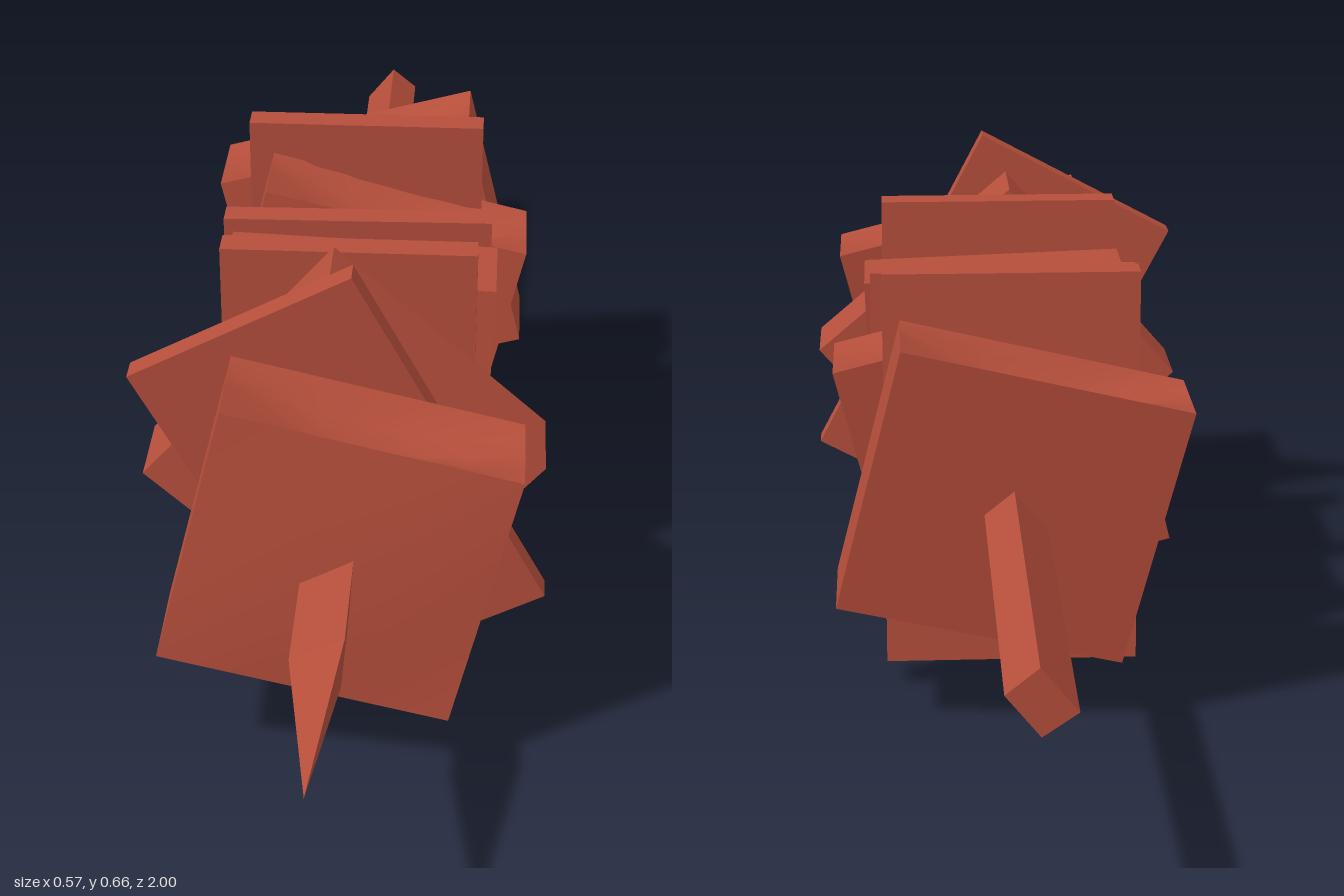
import * as THREE from 'three';

const meat = new THREE.MeshStandardMaterial({ color: 0xb54e3b });
meat.name = 'roasted red';

// A rolled block, leaning along the skewer (leanX, leanY), with an optional dent in its top
function chunk({ name, x = 0, y, z, w, h, d, roll = 0, leanX = 0, leanY = 0, dent = 0, dome = 0 }) {
  const geo = new THREE.BoxGeometry(w, h, d, 6, 6, 4);
  const p = geo.attributes.position;
  const a = THREE.MathUtils.degToRad(roll), c = Math.cos(a), s = Math.sin(a);
  for (let i = 0; i < p.count; i++) {
    const lx = p.getX(i), ly = p.getY(i), lz = p.getZ(i);
    const u = 1 - (2 * lx / w) ** 2, v = 1 - (2 * ly / h) ** 2, t = 1 - (2 * lz / d) ** 2;
    let py = ly, pz = lz;
    if (ly > h / 2 - 1e-4) py -= dent * u * t;
    if (lz > d / 2 - 1e-4) pz += dome * u * v;
    const wx = lx * c - py * s, wy = lx * s + py * c;
    p.setXYZ(i, wx, wy, pz + leanX * wx + leanY * wy);
  }
  geo.computeVertexNormals();
  const mesh = new THREE.Mesh(geo, meat);
  mesh.name = name;
  mesh.position.set(x, y, z);
  return mesh;
}

// Straight bar along z with a polygon section; an optional point closes the front
function bar(name, corners, z0, z1, tip) {
  const n = corners.length, pos = [];
  const at = (i, z) => [...corners[i % n], z];
  for (let i = 0; i < n; i++) {
    const a = at(i, z0), b = at(i + 1, z0), c = at(i + 1, z1), d = at(i, z1);
    pos.push(...a, ...b, ...c, ...a, ...c, ...d);
    if (tip) pos.push(...d, ...c, ...tip);
    if (i > 0 && i < n - 1) pos.push(...at(0, z0), ...at(i + 1, z0), ...at(i, z0));
  }
  const geo = new THREE.BufferGeometry();
  geo.setAttribute('position', new THREE.Float32BufferAttribute(pos, 3));
  geo.computeVertexNormals();
  const mesh = new THREE.Mesh(geo, meat);
  mesh.name = name;
  return mesh;
}

export function createModel() {
  const group = new THREE.Group();
  group.name = 'skewer';

  // Thick pieces of meat
  const thick = { w: 0.4, h: 0.375, d: 0.145, leanX: -0.04, leanY: -0.06, dent: 0.045 };
  const pieces = [
    { ...thick, name: 'frontChunk', x: 0.008, y: 0.317, z: 0.492, roll: -14, dome: 0.01 },
    { name: 'diamondChunk', y: 0.327, z: 0.275, w: 0.395, h: 0.395, d: 0.125, roll: 49, leanX: 0.03, leanY: -0.02 },
    { name: 'middleChunk', x: 0.005, y: 0.326, z: 0.092, w: 0.385, h: 0.385, d: 0.135, roll: -2, leanY: -0.06 },
    { ...thick, name: 'innerChunk', x: 0.008, y: 0.317, z: -0.14, roll: -14 },
    { ...thick, name: 'backChunk', x: 0.005, y: 0.32, z: -0.365, roll: 14 },
    // Thin slices between them
    { name: 'frontSlice', y: 0.327, z: 0.364, w: 0.34, h: 0.57, d: 0.038, roll: 28, leanX: -0.01, leanY: 0.035 },
    { name: 'tallSlice', y: 0.315, z: 0.177, w: 0.355, h: 0.565, d: 0.042, leanY: 0.03 },
    { name: 'shortSlice', y: 0.322, z: -0.025, w: 0.39, h: 0.44, d: 0.04, leanX: -0.02, leanY: 0.03 },
    { name: 'backSlice', y: 0.315, z: -0.24, w: 0.355, h: 0.565, d: 0.042, leanY: 0.035 },
  ];
  for (const piece of pieces) group.add(chunk(piece));

  // Three-sided stick with a sharp point, and four-sided handle
  group.add(bar('pointedStick', [[-0.04, 0.305], [0.025, 0.265], [0.03, 0.34]], -0.35, 0.74, [0, 0.305, 1]));
  group.add(bar('handle', [[-0.04, 0.295], [0.003, 0.265], [0.045, 0.317], [0.005, 0.35]], -1, -0.35));
  return group;
}
